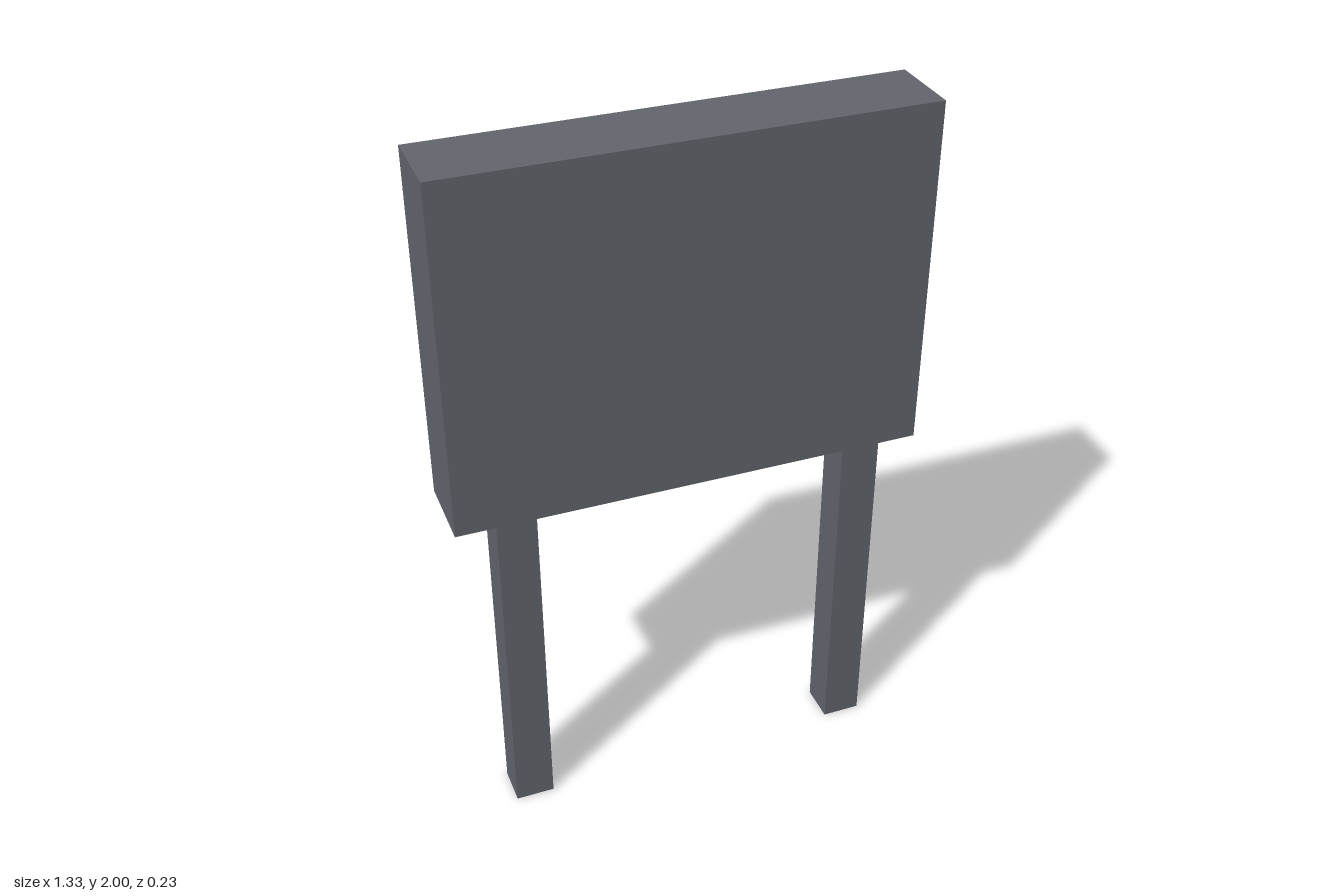
import * as THREE from 'three';

const frameGrey = new THREE.MeshStandardMaterial({ color: 0x62656d });
frameGrey.name = 'frameGrey';
const headerRed = new THREE.MeshStandardMaterial({ color: 0xbb5c65 });
headerRed.name = 'headerRed';
const panelWhite = new THREE.MeshStandardMaterial({ color: 0xc3c5c3 });
panelWhite.name = 'panelWhite';

// Rectangle with rounded corners, centred on x
function roundedRect(halfWidth, bottom, top, r) {
  const s = new THREE.Shape();
  s.moveTo(-halfWidth + r, bottom);
  s.lineTo(halfWidth - r, bottom);
  s.quadraticCurveTo(halfWidth, bottom, halfWidth, bottom + r);
  s.lineTo(halfWidth, top - r);
  s.quadraticCurveTo(halfWidth, top, halfWidth - r, top);
  s.lineTo(-halfWidth + r, top);
  s.quadraticCurveTo(-halfWidth, top, -halfWidth, top - r);
  s.lineTo(-halfWidth, bottom + r);
  s.quadraticCurveTo(-halfWidth, bottom, -halfWidth + r, bottom);
  return s;
}

export function createModel() {
  const model = new THREE.Group();
  model.name = 'signBoard';

  const add = (name, geometry, material, x, y, z) => {
    const mesh = new THREE.Mesh(geometry, material);
    mesh.name = name;
    mesh.position.set(x, y, z);
    model.add(mesh);
    return mesh;
  };

  // Board housing
  add('board', new THREE.BoxGeometry(1.333, 1, 0.222), frameGrey, 0, 1.5, 0);

  // Square posts, flush with the front
  for (const [name, side] of [['leftPost', 1], ['rightPost', -1]]) {
    add(name, new THREE.BoxGeometry(0.111, 1, 0.111), frameGrey, side * 0.5, 0.5, 0.0555);
  }

  // Display on the back: red backing showing as a header above the white panel
  const plates = [
    ['redHeader', headerRed, 1.89, -0.113],
    ['whitePanel', panelWhite, 1.778, -0.115],
  ];
  for (const [name, material, top, z] of plates) {
    const geometry = new THREE.ShapeGeometry(roundedRect(0.556, 1.11, top, 0.03), 4);
    add(name, geometry, material, 0, 0, z).rotation.y = Math.PI;
  }

  return model;
}
